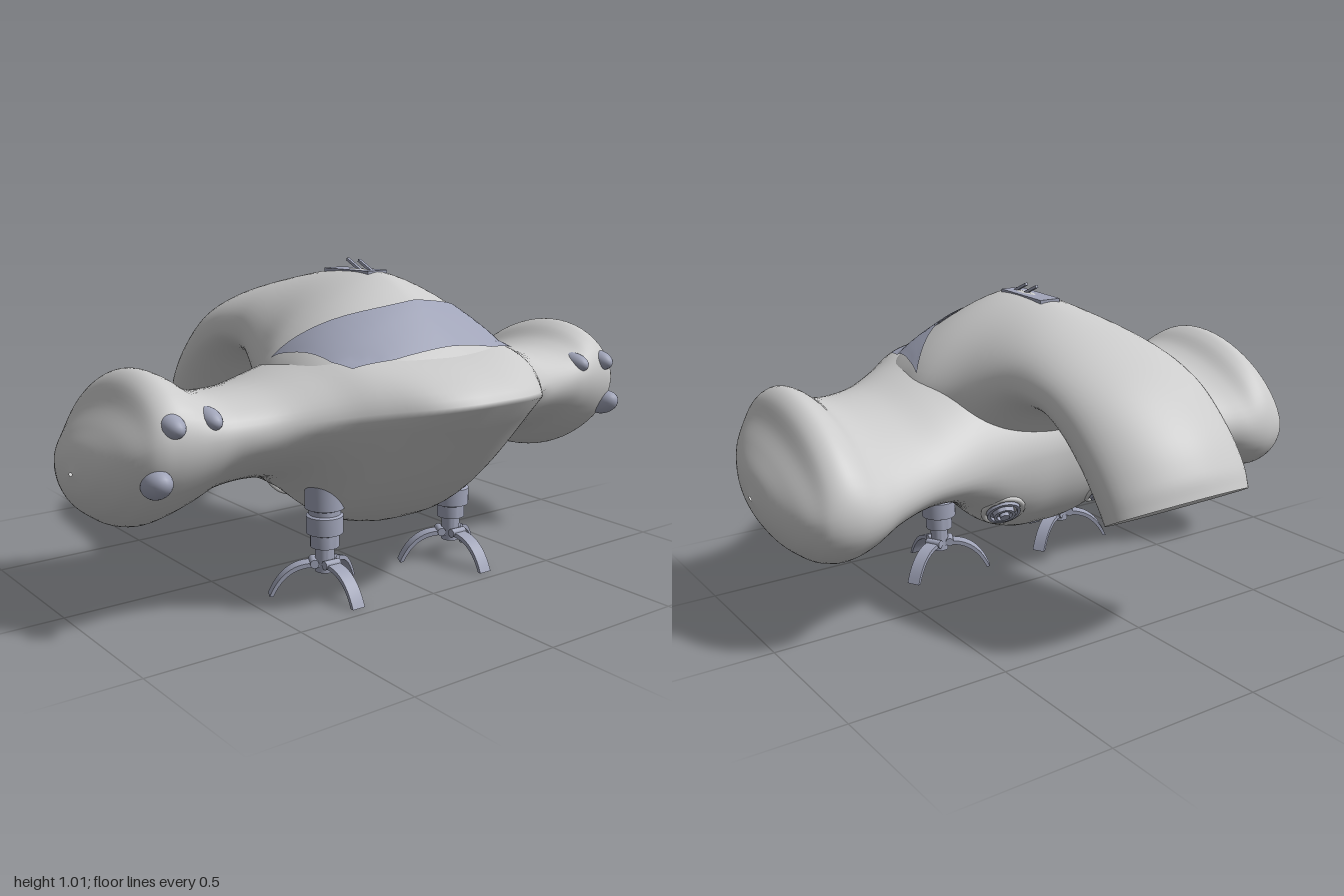
import * as THREE from 'three';
import { toCreasedNormals } from 'three/addons/utils/BufferGeometryUtils.js';

const N = 56;
const V = (x, y, z) => new THREE.Vector3(x, y, z);
const spow = (v, p) => Math.sign(v) * Math.pow(Math.abs(v), 2 / p);
const grey = new THREE.MeshStandardMaterial({ color: 0xcccccc, side: THREE.DoubleSide });
const dark = new THREE.MeshStandardMaterial({ color: 0xa0a4b8, side: THREE.DoubleSide });

function add(parent, name, geo, mat = dark) {
  const m = new THREE.Mesh(geo, mat);
  m.name = name;
  parent.add(m);
  return m;
}

// Turned part with crisp steps
const turned = prof => toCreasedNormals(new THREE.LatheGeometry(prof.map(p => new THREE.Vector2(...p)), 32), 0.6);

// Grid of points (rows x cols) to a smooth surface
function skin(rows, wrap) {
  const n = rows[0].length, idx = [], pos = [];
  rows.forEach(r => r.forEach(p => pos.push(p.x, p.y, p.z)));
  for (let i = 0; i < rows.length - 1; i++) {
    for (let j = 0; j < (wrap ? n : n - 1); j++) {
      const k = (j + 1) % n, a = i * n + j, b = a + n, c = (i + 1) * n + k, d = i * n + k;
      idx.push(a, b, c, a, c, d);
    }
  }
  const g = new THREE.BufferGeometry();
  g.setAttribute('position', new THREE.Float32BufferAttribute(pos, 3));
  g.setIndex(idx);
  g.computeVertexNormals();
  return g;
}

// Closed rings joined by a spline through matching points
function loft(rings, sub) {
  const steps = (rings.length - 1) * sub;
  const lines = rings[0].map((_, j) => new THREE.CatmullRomCurve3(rings.map(r => r[j]), false, 'catmullrom', 0.5));
  const rows = [];
  for (let i = 0; i <= steps; i++) rows.push(lines.map(c => c.getPoint(i / steps)));
  return skin(rows, true);
}

// Wing section at x; its widest line slopes up to the front and drops at the tip.
// The nose overhangs the belly below that line.
function wingRing([x, zF, zB, zM, yT, yB, pTop, pLow, over], s) {
  const seam = z => 0.49 + 0.2 * z - 0.05 * (Math.max(0, x - 0.83) / 0.17) ** 2;
  return Array.from({ length: N }, (_, j) => {
    const a = j / N * Math.PI * 2, c = Math.cos(a), sn = Math.sin(a);
    const p = c > 0 ? (sn > 0 ? pTop : pLow) : 2, v = spow(sn, p);
    let z = zM + spow(c, p) * (c > 0 ? zF - zM : zM - zB);
    if (c > 0 && sn < 0) z += over * ((1 + v) ** 2 - spow(c, p));
    return V(s * x, seam(z) + v * (sn > 0 ? yT - seam(zM) : seam(zM) - yB), z);
  });
}

// Tail section between a top and a bottom point
function tailRing([tz, ty, bz, by, hw, f, p]) {
  return Array.from({ length: N }, (_, j) => {
    const a = j / N * Math.PI * 2, s = Math.sin(a), q = s > 0 ? p : 2;
    const t = f + spow(s, q) * (s > 0 ? 1 - f : f);
    return V(hw * spow(Math.cos(a), q), by + (ty - by) * t, bz + (tz - bz) * t);
  });
}

function makeLeg() {
  const leg = new THREE.Group();
  leg.name = 'leg';
  add(leg, 'legStrut', turned([[0, 0.065], [0.03, 0.07], [0.03, 0.145], [0.045, 0.15], [0.045, 0.19], [0.058, 0.195],
    [0.058, 0.25], [0.05, 0.255], [0.05, 0.27], [0.062, 0.275], [0.062, 0.42]]));
  // curved toes: one forward, two to the sides
  const s = new THREE.Shape();
  s.moveTo(0.01, 0.1);
  s.quadraticCurveTo(0.125, 0.12, 0.175, 0);
  s.lineTo(0.163, 0);
  s.quadraticCurveTo(0.115, 0.105, 0.01, 0.086);
  for (const a of [-90, 28, 152]) {
    const g = new THREE.ExtrudeGeometry(s, { depth: 0.045, bevelEnabled: false, curveSegments: 12 });
    g.translate(0, 0, -0.0225);
    add(leg, 'toe', toCreasedNormals(g, 0.6)).rotation.y = a * Math.PI / 180;
    const hinge = new THREE.CylinderGeometry(0.014, 0.014, 0.055, 12).rotateX(Math.PI / 2).translate(0.035, 0.1, 0);
    add(leg, 'toeHinge', toCreasedNormals(hinge, 0.6)).rotation.y = a * Math.PI / 180;
  }
  return leg;
}

export function createModel() {
  const model = new THREE.Group();
  model.name = 'birdShapedCraft';

  // wing, nose and belly: x, front z, back z, middle z, top, bottom, front curve powers, overhang
  const half = [
    [0, 0.79, -0.1, 0.2, 0.755, 0.17, 1.6, 2.5, 0.19],
    [0.1, 0.782, -0.105, 0.2, 0.755, 0.178, 1.6, 2.5, 0.19],
    [0.2, 0.735, -0.11, 0.2, 0.755, 0.22, 1.65, 2.4, 0.17],
    [0.3, 0.64, -0.12, 0.19, 0.748, 0.305, 1.8, 2.2, 0.1],
    [0.4, 0.55, -0.135, 0.17, 0.712, 0.362, 1.9, 2.1, 0.05],
    [0.52, 0.475, -0.155, 0.15, 0.672, 0.375, 2, 2, 0],
    [0.64, 0.445, -0.195, 0.12, 0.662, 0.352, 2, 2, 0],
    [0.72, 0.44, -0.228, 0.11, 0.682, 0.31, 2, 2, 0],
    [0.78, 0.437, -0.24, 0.1, 0.726, 0.284, 2, 2, 0],
    [0.83, 0.43, -0.237, 0.1, 0.743, 0.275, 2, 2, 0],
    [0.875, 0.417, -0.222, 0.1, 0.715, 0.285, 2, 2, 0],
    [0.91, 0.39, -0.195, 0.1, 0.645, 0.306, 2, 2, 0],
    [0.95, 0.33, -0.135, 0.1, 0.588, 0.34, 2, 2, 0],
    [0.985, 0.23, -0.03, 0.1, 0.53, 0.395, 2, 2, 0],
    [1, 0.11, 0.09, 0.1, 0.465, 0.455, 2, 2, 0],
  ];
  const rings = [...half.slice(1).reverse().map(r => wingRing(r, -1)), ...half.map(r => wingRing(r, 1))];
  const wing = add(model, 'wingBody', loft(rings, 5), grey);

  // domed back running into the hooked tail: top z,y, bottom z,y, half width, widest level, power
  const tailRows = [
    [0.6, 0.73, 0.5, 0.5, 0.22, 0.6, 1.8], [0.55, 0.773, 0.48, 0.5, 0.31, 0.58, 1.7],
    [0.46, 0.845, 0.42, 0.5, 0.365, 0.5, 1.55], [0.38, 0.902, 0.35, 0.5, 0.395, 0.46, 1.47],
    [0.28, 0.955, 0.25, 0.5, 0.405, 0.41, 1.45], [0.17, 0.976, 0.15, 0.48, 0.4, 0.41, 1.45],
    [0, 0.965, 0.02, 0.44, 0.335, 0.46, 1.65], [-0.2, 0.925, -0.14, 0.61, 0.275, 0.43, 1.95],
    [-0.4, 0.87, -0.26, 0.648, 0.264, 0.43, 2.1], [-0.56, 0.8, -0.355, 0.61, 0.264, 0.44, 2.05],
    [-0.7, 0.69, -0.435, 0.525, 0.262, 0.47, 1.9], [-0.772, 0.59, -0.495, 0.445, 0.26, 0.5, 1.85],
    [-0.795, 0.52, -0.54, 0.385, 0.256, 0.5, 1.85],
  ];
  const tail = add(model, 'backAndTail', loft(tailRows.map(tailRing), 6), grey);

  // tail end: sloping lip, recess and slatted grille
  const lip = [tailRows[12], [-0.736, 0.514, -0.574, 0.427, 0.185, 0.5, 2], [-0.717, 0.549, -0.555, 0.462, 0.175, 0.5, 2]];
  add(model, 'tailLip', toCreasedNormals(loft(lip.map(tailRing), 1), 0.6), grey);
  const vent = new THREE.Group();
  vent.name = 'tailVent';
  vent.position.set(0, 0.5, -0.638);
  vent.rotation.x = Math.atan2(0.087, 0.162);
  add(vent, 'ventPlate', new THREE.CylinderGeometry(1, 1, 0.01, 48)).scale.set(0.178, 1, 0.094);
  for (let i = -3; i <= 3; i++) {
    const w = 0.335 * Math.sqrt(1 - (i * 0.023 / 0.092) ** 2);
    add(vent, 'ventSlat', new THREE.BoxGeometry(w, 0.025, 0.008)).position.set(0, -0.015, i * 0.023);
  }
  model.add(vent);

  // nearest skin hit, straight down (dir -1) or up (dir 1)
  const ray = new THREE.Raycaster();
  const hit = (x, z, dir) => {
    ray.set(V(x, -2 * dir, z), V(0, dir, 0));
    return ray.intersectObjects([wing, tail])[0];
  };

  // wraparound windscreen laid on the dome
  const glass = [];
  for (let i = 0; i <= 12; i++) {
    const t = i / 12, row = [];
    for (let j = 0; j <= 40; j++) {
      const s = j / 20 - 1;
      const x = s * (0.31 + 0.072 * t), z = (0.545 - 0.055 * s * s) * (1 - t) + (0.385 - 0.205 * s * s) * t;
      row.push(hit(x, z, -1).point.add(V(s * 0.003, 0.005, 0.004)));
    }
    glass.push(row);
  }
  add(model, 'windscreen', skin(glass, false));

  // plate and two raked aerials on the back
  const plate = add(model, 'aerialPlate', new THREE.BoxGeometry(0.075, 0.012, 0.23));
  plate.position.set(0, 0.967, 0.095);
  plate.rotation.x = -0.03;
  for (const z of [0.15, 0.09]) {
    const fin = add(model, 'aerial', new THREE.BoxGeometry(0.01, 0.009, 0.075));
    fin.position.set(0, 0.986, z);
    fin.rotation.x = 0.42;
  }

  for (const s of [-1, 1]) {
    // forward-pointing pod lamps
    for (const [x, y, z, r] of [[0.838, 0.632, 0.39, 0.034], [0.722, 0.635, 0.385, 0.032], [0.882, 0.475, 0.385, 0.04]]) {
      const lamp = add(model, 'podLamp', new THREE.SphereGeometry(1, 24, 16));
      lamp.position.set(s * x, y, z);
      lamp.scale.set(r, r, 0.062);
      lamp.rotation.x = y > 0.55 ? 0.1 : -0.35;
    }

    const leg = makeLeg();
    leg.position.set(s * 0.26, 0, 0.285);
    model.add(leg);

    // belly thruster sunk into the skin
    const h = hit(s * 0.205, -0.045, 1), n = h.face.normal, nozzle = new THREE.Group();
    nozzle.name = 'bellyThruster';
    nozzle.position.copy(h.point).addScaledVector(n, -0.006);
    nozzle.quaternion.setFromUnitVectors(V(0, 1, 0), n);
    add(nozzle, 'thrusterRim', new THREE.TorusGeometry(0.066, 0.009, 10, 36).rotateX(Math.PI / 2), grey);
    add(nozzle, 'thrusterNozzle', turned([[0.056, -0.03], [0.056, 0.015], [0.046, 0.015], [0.046, 0.003], [0.036, 0.003],
      [0.036, 0.024], [0.026, 0.024], [0.026, 0.01], [0.016, 0.01], [0.016, 0.03], [0, 0.03]]));
    model.add(nozzle);
  }
  return model;
}
